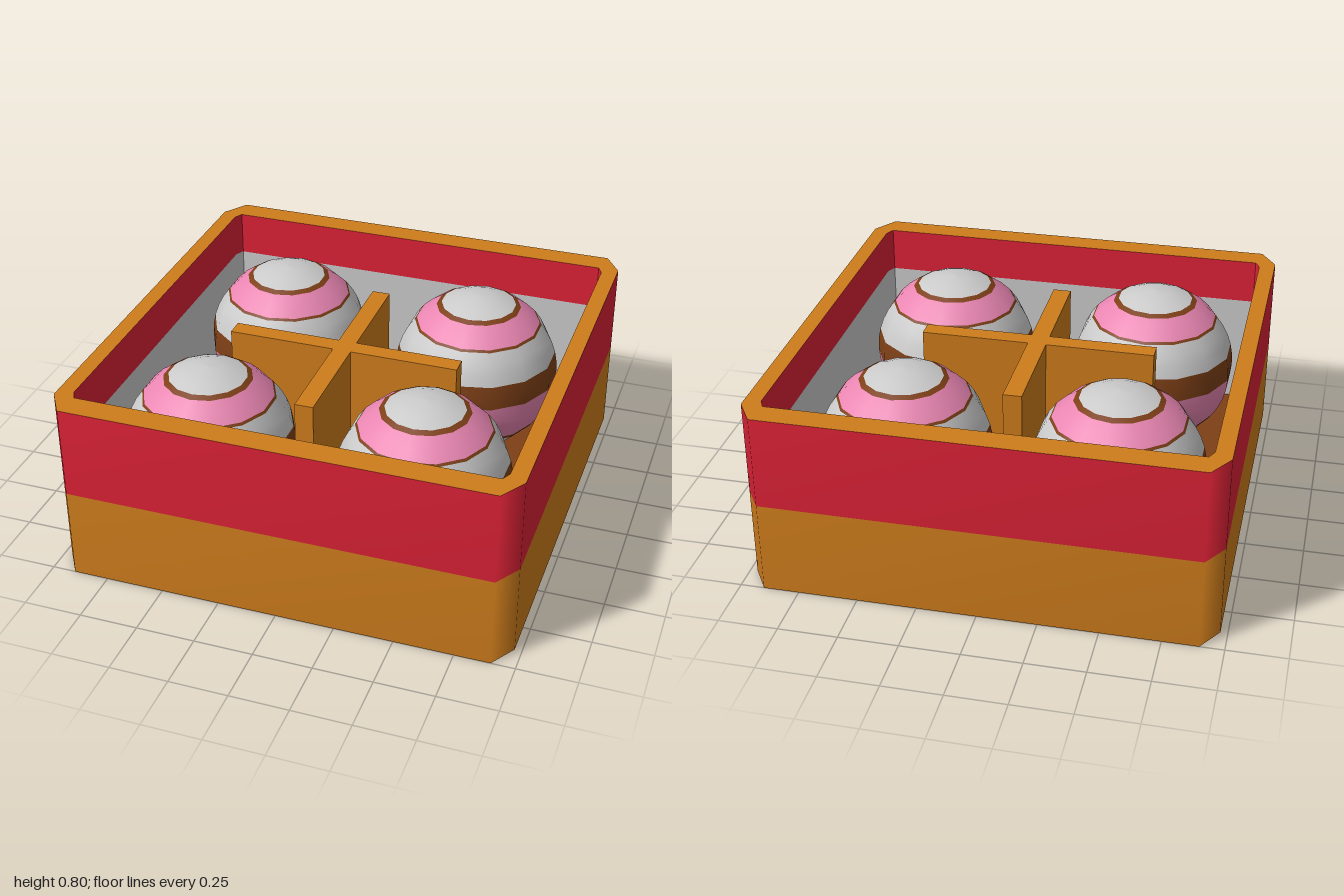
import * as THREE from 'three';

const RED = 0xdd2236, ORANGE = 0xcf7d1c, BROWN = 0x7d3f16, PINK = 0xe986b2, GREY = 0xcccccc, MAROON = 0x7a3344;

const material = (color, flatShading = false) =>
  new THREE.MeshStandardMaterial({ color, flatShading, side: THREE.DoubleSide });

function part(name, geometry, color, flat) {
  const mesh = new THREE.Mesh(geometry, material(color, flat));
  mesh.name = name;
  return mesh;
}

// Rectangle with cut corners, as [x, z] points running anticlockwise in the x/z plane
function loop(x, z, cutX, cutZ) {
  const a = x - cutX, b = z - cutZ;
  return [[a, z], [x, b], [x, -b], [a, -z], [-a, -z], [-x, -b], [-x, b], [-a, z]];
}

// Band between two loops; faces outward when the first loop is the lower one
function band(lower, y0, upper, y1) {
  const positions = [], index = [], n = lower.length;
  lower.forEach(([x, z]) => positions.push(x, y0, z));
  upper.forEach(([x, z]) => positions.push(x, y1, z));
  for (let i = 0; i < n; i++) {
    const j = (i + 1) % n;
    index.push(i, j, n + j, i, n + j, n + i);
  }
  const g = new THREE.BufferGeometry();
  g.setAttribute('position', new THREE.Float32BufferAttribute(positions, 3));
  g.setIndex(index);
  g.computeVertexNormals();
  return g;
}

// Flat cap filling a loop at height y, facing up or down
function cap(points, y, up) {
  const shape = new THREE.Shape(points.map(([x, z]) => new THREE.Vector2(x, up ? -z : z)));
  const g = new THREE.ShapeGeometry(shape);
  g.rotateX(up ? -Math.PI / 2 : Math.PI / 2);
  g.translate(0, y, 0);
  return g;
}

// Striped ball: each stripe is a lathe between two polar angles (degrees from the top)
function createBall(x, z) {
  const ball = new THREE.Group();
  ball.name = 'stripedBall';
  const stripes = [
    ['topCap', 0, 27, GREY], ['upperLine', 27, 31, BROWN], ['upperStripe', 31, 49, PINK],
    ['middleLine', 49, 51, BROWN], ['middleStripe', 51, 75, GREY], ['lowerLine', 75, 92, BROWN],
    ['lowerStripe', 92, 125, PINK], ['bottomLine', 125, 130, BROWN], ['bottomCap', 130, 180, GREY],
  ];
  for (const [name, from, to, color] of stripes) {
    const steps = Math.max(1, Math.round((to - from) / 9)), points = [];
    for (let i = steps; i >= 0; i--) {
      const t = THREE.MathUtils.degToRad(from + (to - from) * i / steps);
      points.push(new THREE.Vector2(0.365 * Math.sin(t), 0.365 * Math.cos(t)));
    }
    ball.add(part(name, new THREE.LatheGeometry(points, 14), color));
  }
  ball.position.set(x, 0.437, z);
  return ball;
}

export function createModel() {
  const model = new THREE.Group();
  model.name = 'boxOfBalls';
  const outer = loop(0.97, 1, 0.07, 0.11), inner = loop(0.9, 0.89, 0.02, 0.04);
  const floorY = 0.09;

  // Box shell
  model.add(part('lowerWall', band(outer, 0, outer, 0.4), ORANGE));
  model.add(part('upperWall', band(outer, 0.4, outer, 0.8), RED));
  model.add(part('rim', band(outer, 0.8, inner, 0.8), ORANGE, true));
  model.add(part('innerUpperWall', band(inner, 0.8, inner, 0.6), RED, true));
  model.add(part('innerLowerWall', band(inner, 0.6, inner, floorY), GREY, true));
  model.add(part('floor', cap(inner, floorY, true), BROWN));
  model.add(part('underside', cap(outer, 0, false), MAROON));

  // Crossed dividers
  const top = 0.73, h = top - floorY;
  const across = part('dividerAcross', new THREE.BoxGeometry(1.02, h, 0.08), ORANGE);
  across.position.set(-0.03, floorY + h / 2, 0.04);
  const along = part('dividerAlong', new THREE.BoxGeometry(0.08, h, 1.02), ORANGE);
  along.position.set(-0.03, floorY + h / 2, 0.04);
  model.add(across, along);

  // One ball in each compartment
  for (const [x, z] of [[-0.47, -0.45], [0.43, -0.46], [-0.47, 0.495], [0.455, 0.455]]) {
    model.add(createBall(x, z));
  }
  return model;
}
